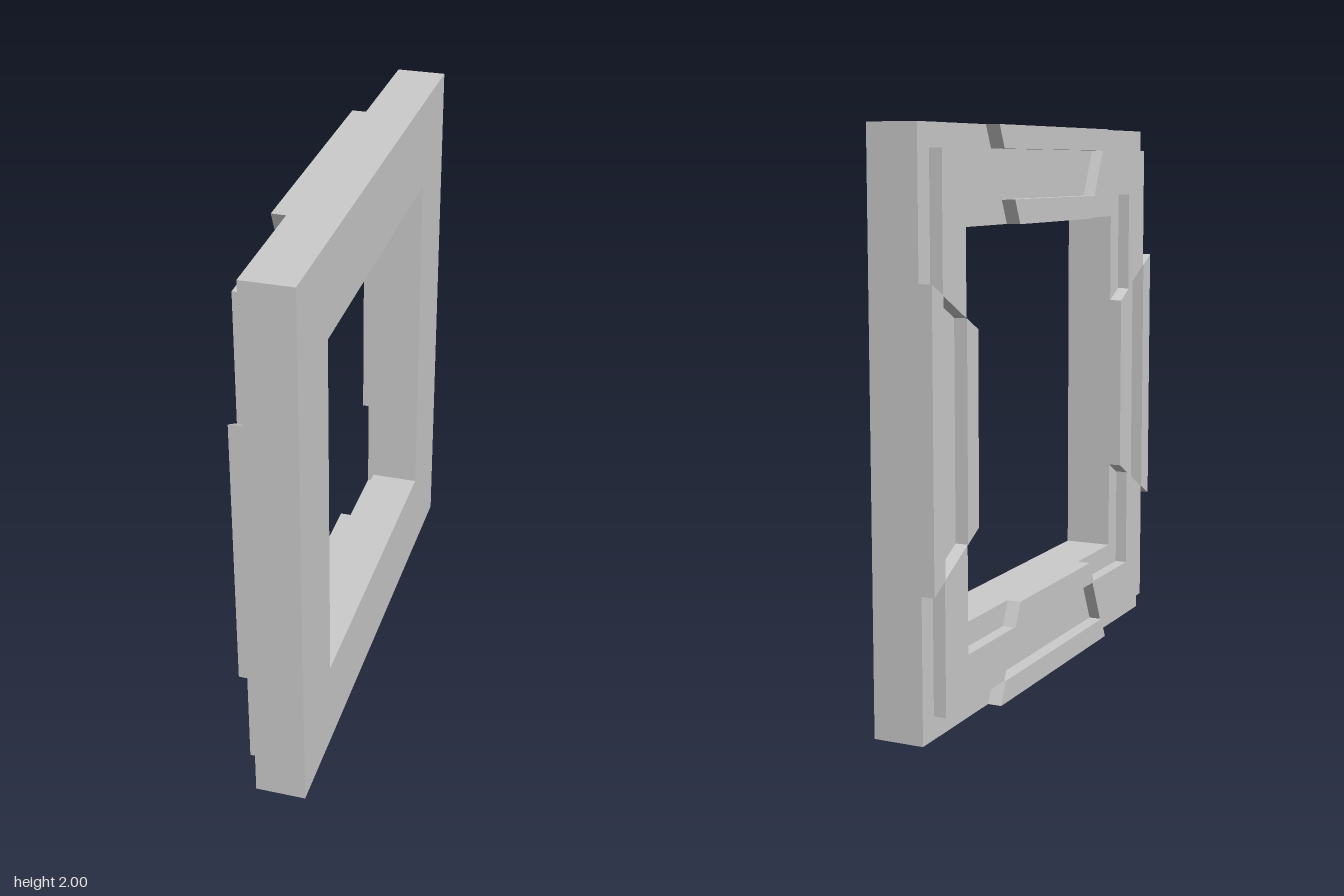
import * as THREE from 'three';

const HALF_W = 0.945;              // half width along z; half height is 1
const FRONT = 0.116, BACK = -0.065; // x of the flat face and of the stepped face
// Ring sizes, as fractions of the outer rectangle
const OUTER = 1, LIP = 0.92, RIDGE = 0.75, OPENING = 0.665;

const material = new THREE.MeshStandardMaterial({ color: 0xcccccc });
const FULL = [[-1, -1], [1, -1], [1, 1], [-1, 1]];
const scaled = (points, s) => points.map(([u, v]) => new THREE.Vector2(u * s * HALF_W, v * s));

// Extrudes an outline in the (z, y) plane from x = from towards -x
function slab(name, shape, from, to) {
  const geometry = new THREE.ExtrudeGeometry(shape, { depth: from - to, bevelEnabled: false });
  geometry.rotateY(-Math.PI / 2);
  geometry.translate(from, 1, 0);
  const mesh = new THREE.Mesh(geometry, material);
  mesh.name = name;
  return mesh;
}

// Strip between two scaled copies of a path, with ends cut towards the centre
const strip = (path, outer, inner) =>
  new THREE.Shape([...scaled(path, outer), ...scaled(path, inner).reverse()]);

export function createModel() {
  const group = new THREE.Group();
  group.name = 'squareFrame';

  // Flat base ring
  const ring = new THREE.Shape(scaled(FULL, OUTER));
  ring.holes.push(new THREE.Path(scaled(FULL, OPENING).reverse()));
  group.add(slab('baseFrame', ring, FRONT, BACK));

  // Raised L-shaped ridge in each corner
  for (const u of [-1, 1]) {
    for (const v of [-1, 1]) {
      const corner = [[u * 0.5, v], [u, v], [u, v * 0.5]];
      group.add(slab('cornerRidge', strip(corner, LIP, RIDGE), BACK, -0.11));
    }
  }

  // Pair of raised lips in the middle of each side, with a channel between
  for (const s of [-1, 1]) {
    const sides = [
      ['rail', [[-0.5, s], [0.5, s]], -0.116],
      ['stile', [[s, -0.5], [s, 0.5]], -0.112],
    ];
    for (const [name, path, top] of sides) {
      group.add(slab(name + 'OuterLip', strip(path, OUTER, LIP), BACK, top));
      group.add(slab(name + 'InnerLip', strip(path, RIDGE, OPENING), BACK, top));
    }
  }
  return group;
}
